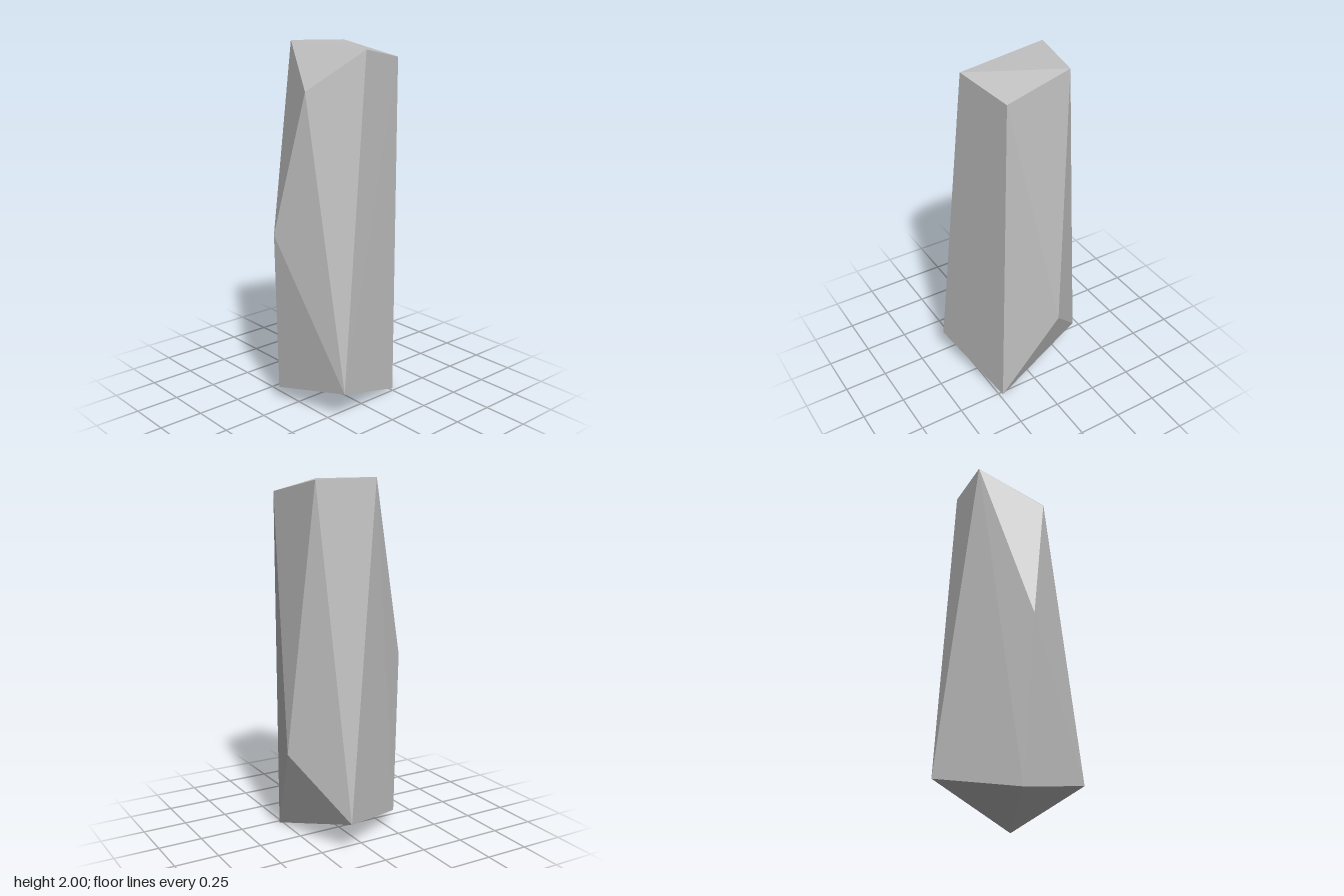
import * as THREE from 'three';
import { ConvexGeometry } from 'three/addons/geometries/ConvexGeometry.js';

export function createModel() {
  const group = new THREE.Group();
  group.name = 'stoneShard';

  const stone = new THREE.MeshStandardMaterial({ color: 0xc0c0c0 });
  stone.name = 'stoneGrey';

  // Corners of the faceted shard; the convex hull gives its flat facets
  const crown = [[-0.235, 2.0, 0.09], [0.285, 1.98, 0.02], [0.205, 1.92, -0.285], [-0.18, 1.99, -0.24]];
  const flanks = [[0.095, 1.77, 0.265], [-0.055, 1.0, 0.365], [-0.08, 0.53, -0.365]];
  const foot = [[-0.1, 0.075, 0.313], [0.358, 0.17, 0.222], [0.23, 0, -0.268], [-0.358, 0.175, -0.125]];

  const corners = [...crown, ...flanks, ...foot].map((p) => new THREE.Vector3(...p));
  const shard = new THREE.Mesh(new ConvexGeometry(corners), stone);
  shard.name = 'shard';
  group.add(shard);

  return group;
}
